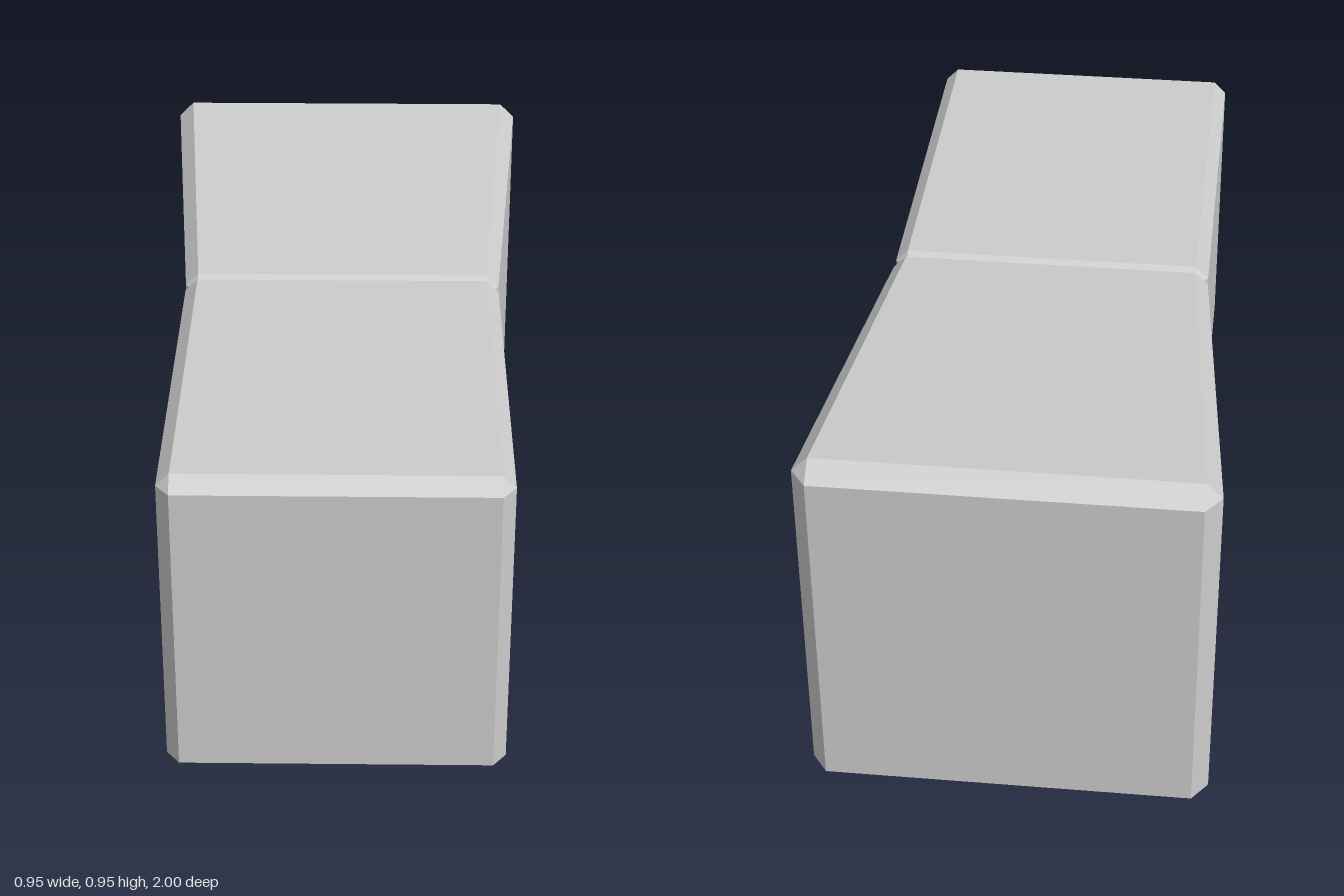
import * as THREE from 'three';

const CENTRE_Y = 0.475;

// Square section with cut corners: outer = half width, flat = half length of each side
function section([z, outer, flat]) {
  const a = outer, b = flat;
  return [[a, -b], [a, b], [b, a], [-b, a], [-a, b], [-a, -b], [-b, -a], [b, -a]]
    .map(([x, y]) => new THREE.Vector3(x, y + CENTRE_Y, z));
}

// Joins sections, listed from back to front, into a faceted skin
function loft(name, profile, capBack, capFront, material) {
  const rings = profile.map(section);
  const points = [];
  const tri = (a, b, c) => {
    // Corners that meet in a point leave empty triangles
    if (new THREE.Triangle(a, b, c).getArea() > 1e-8) points.push(a, b, c);
  };
  for (let r = 0; r < rings.length - 1; r++) {
    const back = rings[r], front = rings[r + 1];
    for (let i = 0; i < 8; i++) {
      const j = (i + 1) % 8;
      tri(back[i], back[j], front[j]);
      tri(back[i], front[j], front[i]);
    }
  }
  const first = rings[0], last = rings[rings.length - 1];
  for (let i = 1; i < 7; i++) {
    if (capBack) tri(first[0], first[i + 1], first[i]);
    if (capFront) tri(last[0], last[i], last[i + 1]);
  }
  const geometry = new THREE.BufferGeometry().setFromPoints(points);
  geometry.computeVertexNormals();
  const mesh = new THREE.Mesh(geometry, material);
  mesh.name = name;
  return mesh;
}

export function createModel() {
  const group = new THREE.Group();
  group.name = 'bevelledBlock';
  const material = new THREE.MeshStandardMaterial({ color: 0xcccccc, flatShading: true });

  // Straight front half, bevelled at the front and into the groove
  group.add(loft('straightBlock', [
    [0, 0.384, 0.364],
    [0.015, 0.395, 0.364],
    [0.96, 0.395, 0.364],
    [1, 0.364, 0.364],
  ], false, true, material));

  // Flared rear half, widening towards its bevelled back
  group.add(loft('flaredBlock', [
    [-1, 0.437, 0.437],
    [-0.95, 0.475, 0.437],
    [-0.015, 0.396, 0.364],
    [0, 0.384, 0.364],
  ], true, false, material));

  return group;
}
